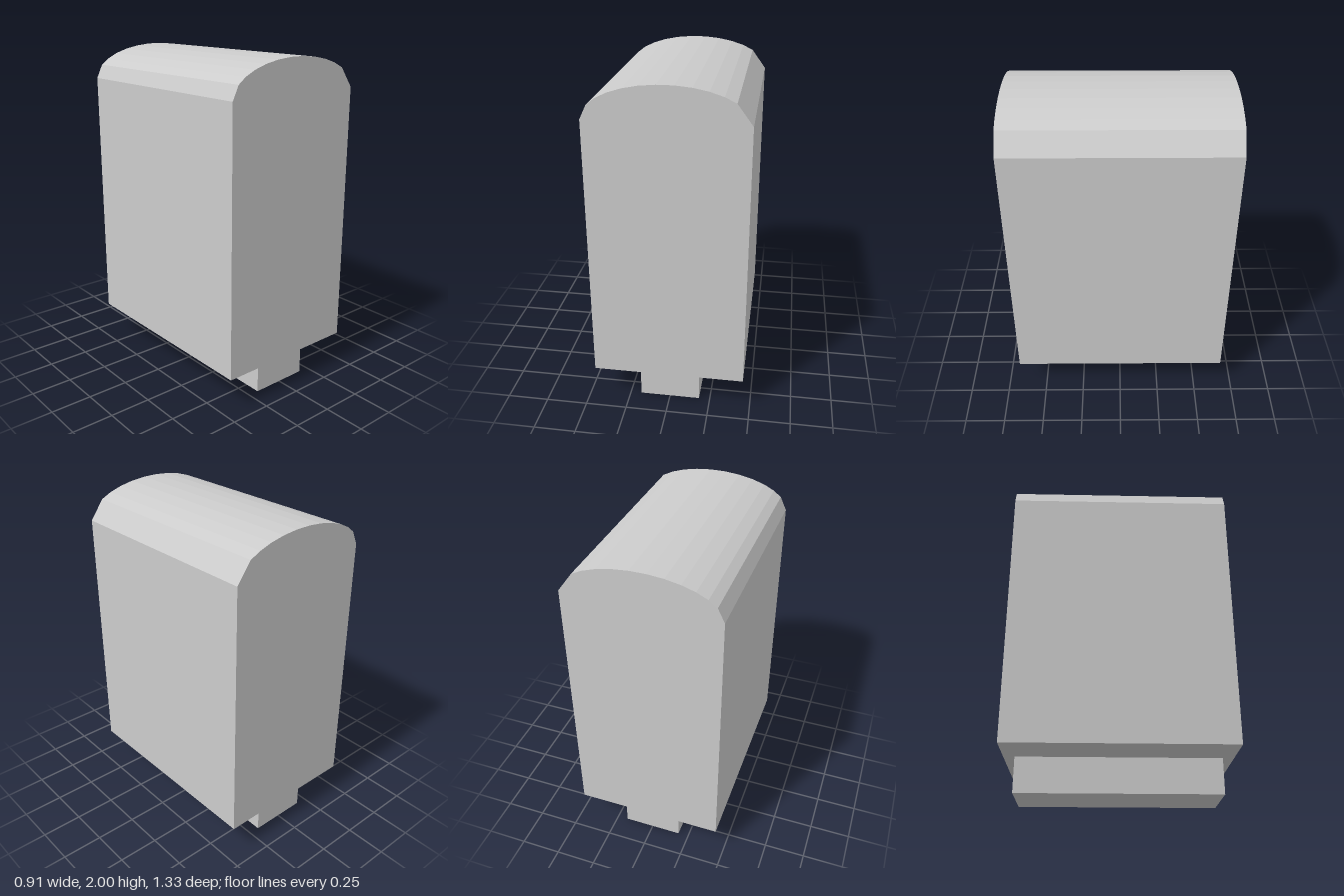
import * as THREE from 'three';

const material = new THREE.MeshStandardMaterial({ color: 0xcccccc, flatShading: true });

export function createModel() {
  const group = new THREE.Group();

  // Base: narrow plinth under the body
  const baseHeight = 0.21;
  const base = new THREE.Mesh(new THREE.BoxGeometry(0.366, baseHeight, 1.2), material);
  base.name = 'base';
  base.position.y = baseHeight / 2;
  group.add(base);

  // Body: upright block with an elliptical faceted crown, uneven at the shoulders
  const halfWidth = 0.455, depth = 1.33, shoulder = 1.8, rise = 0.2;
  const profile = new THREE.Shape();
  profile.moveTo(-halfWidth, baseHeight);
  profile.lineTo(halfWidth, baseHeight);
  profile.lineTo(halfWidth, shoulder);
  for (let i = 3; i <= 13; i++) {
    const a = (i / 15) * Math.PI;
    profile.lineTo(halfWidth * Math.cos(a), shoulder + rise * Math.sin(a));
  }
  profile.lineTo(-halfWidth, shoulder);
  profile.closePath();

  const geometry = new THREE.ExtrudeGeometry(profile, { depth, bevelEnabled: false });
  geometry.translate(0, 0, -depth / 2);
  const body = new THREE.Mesh(geometry, material);
  body.name = 'body';
  group.add(body);

  return group;
}
